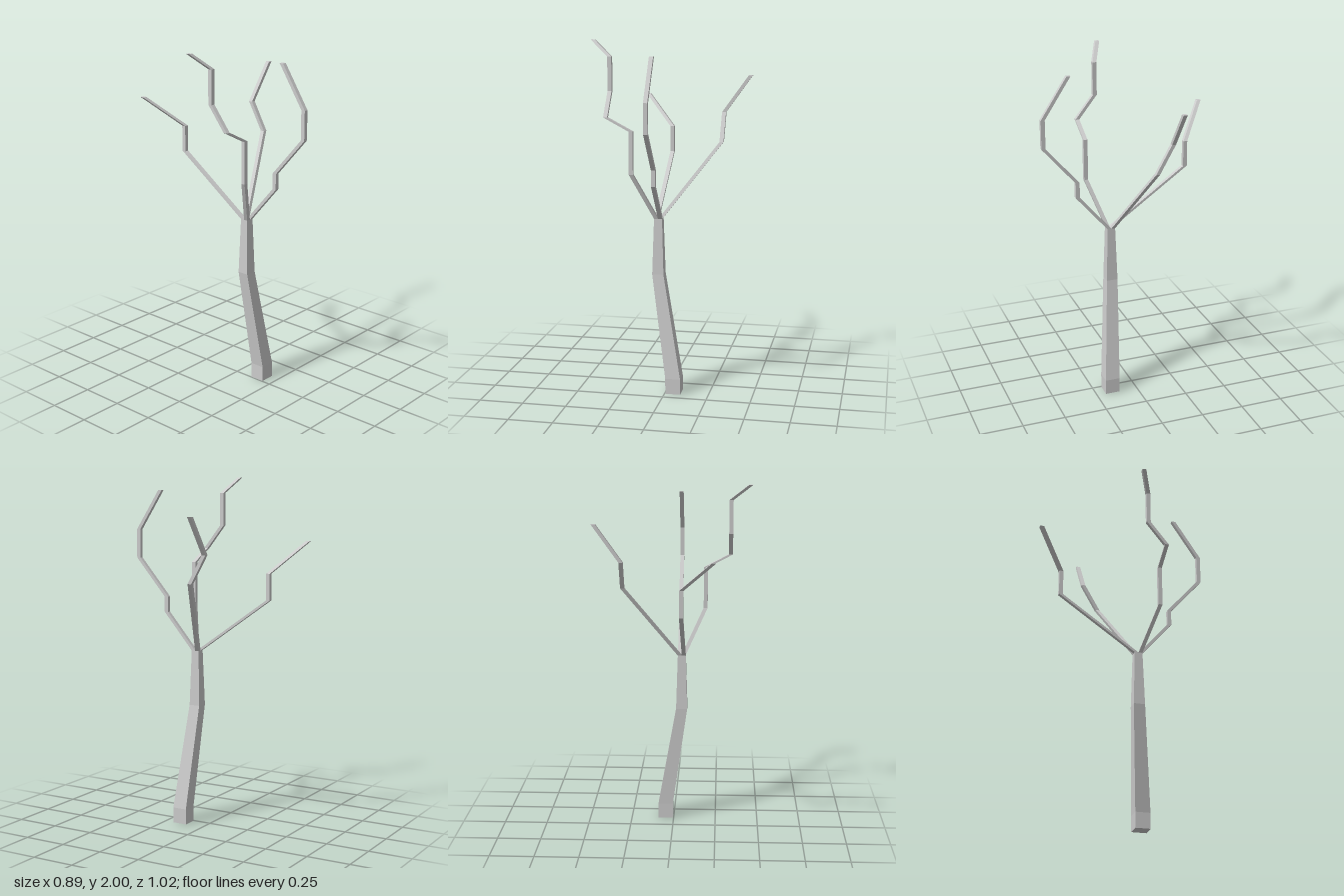
import * as THREE from 'three';

const material = new THREE.MeshStandardMaterial({ color: 0xcccccc, flatShading: true });

// Skins a chain of level square sections [x, y, z, width], listed bottom to top
function squareLimb(name, sections) {
  const corners = [[-0.5, -0.5], [-0.5, 0.5], [0.5, 0.5], [0.5, -0.5]];
  const rings = sections.map(([x, y, z, w]) => corners.map(([a, b]) => [x + a * w, y, z + b * w]));
  const positions = [];
  const quad = (a, b, c, d) => positions.push(...a, ...b, ...c, ...a, ...c, ...d);
  for (let i = 0; i < rings.length - 1; i++) {
    const low = rings[i], high = rings[i + 1];
    for (let k = 0; k < 4; k++) {
      const n = (k + 1) % 4;
      quad(low[k], low[n], high[n], high[k]);
    }
  }
  // End caps
  const [b0, b1, b2, b3] = rings[0];
  quad(b3, b2, b1, b0);
  quad(...rings[rings.length - 1]);

  const geometry = new THREE.BufferGeometry();
  geometry.setAttribute('position', new THREE.Float32BufferAttribute(positions, 3));
  geometry.computeVertexNormals();
  const mesh = new THREE.Mesh(geometry, material);
  mesh.name = name;
  return mesh;
}

export function createModel() {
  const tree = new THREE.Group();
  tree.name = 'bareTree';

  // Bent, tapering trunk
  const top = [-0.048, 1.01, 0.114, 0.046];
  tree.add(squareLimb('trunk', [
    [0.0475, 0, 0.1525, 0.086],
    [0.0475, 0.09, 0.1525, 0.086],
    [-0.048, 0.69, 0.114, 0.065],
    top,
  ]));

  // Each branch grows from one quarter of the trunk top and keeps its width
  const width = top[3] / 2;
  const branch = (name, sideX, sideZ, points) => {
    const start = [top[0] + sideX * width / 2, top[1], top[2] + sideZ * width / 2];
    tree.add(squareLimb(name, [start, ...points].map((p) => [...p, width])));
  };

  branch('leftBranch', 1, -1, [
    [0.282, 1.43, -0.043], [0.282, 1.59, -0.133], [0.432, 1.8, -0.133],
  ]);
  branch('backBranch', -1, -1, [
    [-0.0595, 1.325, -0.345], [-0.0595, 1.475, -0.345], [-0.235, 1.65, -0.5],
  ]);
  branch('rightBranch', -1, 1, [
    [-0.183, 1.27, 0.212], [-0.183, 1.51, 0.212], [-0.326, 1.585, 0.212],
    [-0.326, 1.72, 0.105], [-0.326, 1.91, 0.105], [-0.434, 2, 0.05],
  ]);
  branch('frontBranch', 1, 1, [
    [-0.0365, 1.225, 0.31], [-0.0365, 1.315, 0.31], [-0.0365, 1.535, 0.5],
    [-0.0365, 1.7, 0.5], [-0.0365, 1.93, 0.35],
  ]);

  return tree;
}
